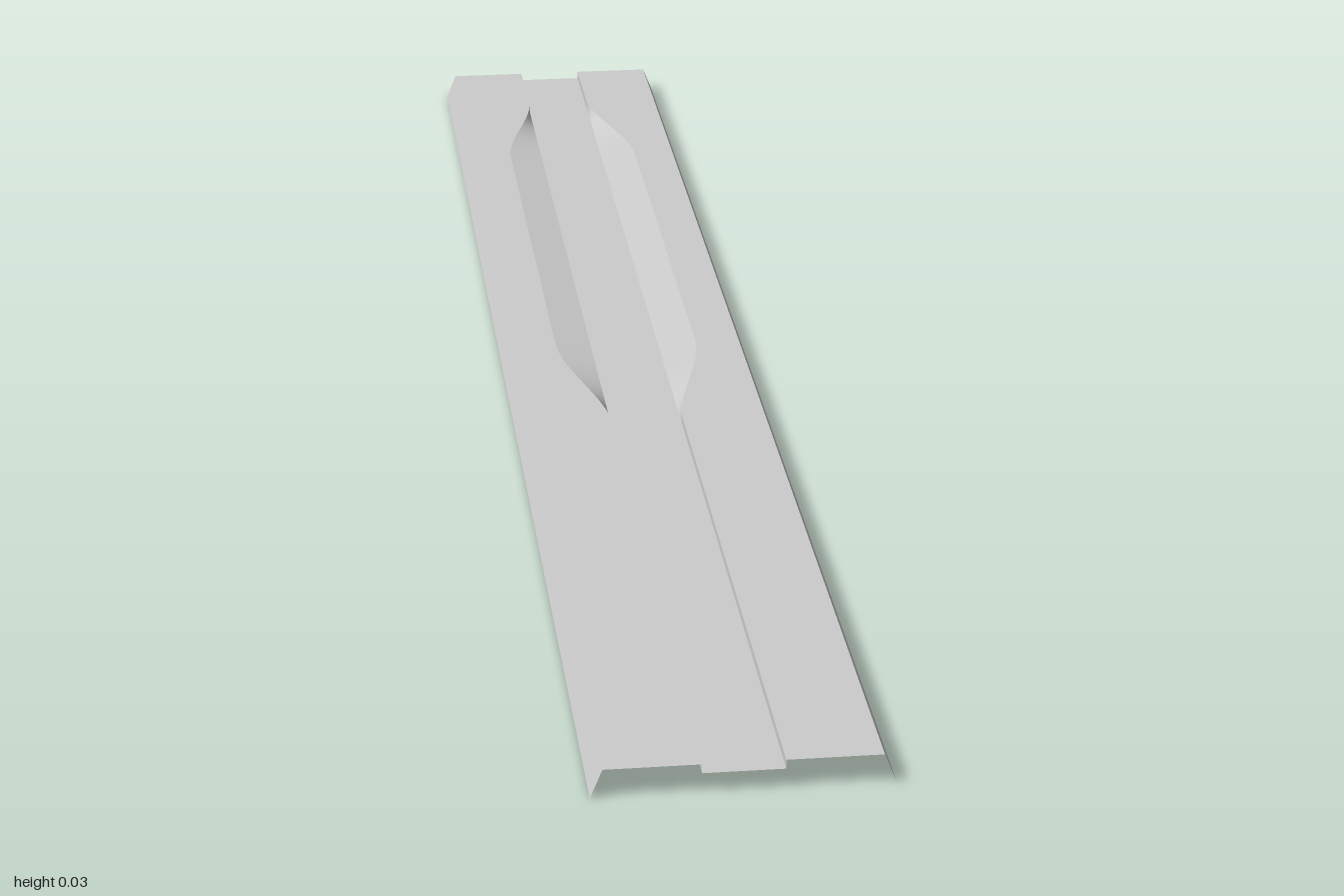
import * as THREE from 'three';

const TOP = 0.03, FLOOR = 0.0205;   // heights of the upper deck and the channel floor
const EDGE = 0.134, FOOT = 0.146;   // deck edge and flange foot
const INNER = 0.04, OUTER = 0.083;  // channel half width and widest ramp reach

// Half width of the channel at deck level: upright walls near the ends, wide ramps between
function rimX(z) {
  const s = THREE.MathUtils.smoothstep;
  return INNER + (OUTER - INNER) * s(z, -0.88, -0.66) * (1 - s(z, -0.02, 0.22));
}

// Stations along the length, closer together where the rim curves
function stations() {
  const zs = [-1];
  for (let i = 0; i <= 12; i++) zs.push(-0.88 + (0.22 * i) / 12);
  for (let i = 0; i <= 12; i++) zs.push(-0.02 + (0.24 * i) / 12);
  zs.push(1);
  return zs;
}

// Thin strip ruled between two edge lines a(z) and b(z), each giving [x, y]
function strip(name, a, b, zs, material) {
  const pos = [], idx = [];
  zs.forEach((z, i) => {
    pos.push(...a(z), z, ...b(z), z);
    if (i > 0) {
      const k = 2 * i;
      idx.push(k - 2, k, k - 1, k - 1, k, k + 1);
    }
  });
  const g = new THREE.BufferGeometry();
  g.setAttribute('position', new THREE.Float32BufferAttribute(pos, 3));
  g.setIndex(idx);
  g.computeVertexNormals();
  const mesh = new THREE.Mesh(g, material);
  mesh.name = name;
  return mesh;
}

export function createModel() {
  const group = new THREE.Group();
  group.name = 'channelledPanel';
  const mat = new THREE.MeshStandardMaterial({ color: 0xcccccc, side: THREE.DoubleSide });
  const zs = stations();

  // Channel floor
  group.add(strip('channelFloor', () => [-INNER, FLOOR], () => [INNER, FLOOR], zs, mat));

  // Ramp, deck and flange on each side, ordered so that faces point up and out
  for (const [side, label] of [[1, 'left'], [-1, 'right']]) {
    const add = (name, inner, outer) => {
      const a = (z) => { const [x, y] = inner(z); return [side * x, y]; };
      const b = (z) => { const [x, y] = outer(z); return [side * x, y]; };
      group.add(side > 0 ? strip(label + name, a, b, zs, mat) : strip(label + name, b, a, zs, mat));
    };
    add('ChannelRamp', () => [INNER, FLOOR], (z) => [rimX(z), TOP]);
    add('Deck', (z) => [rimX(z), TOP], () => [EDGE, TOP]);
    add('Flange', () => [EDGE, TOP], () => [FOOT, 0]);
  }
  return group;
}
